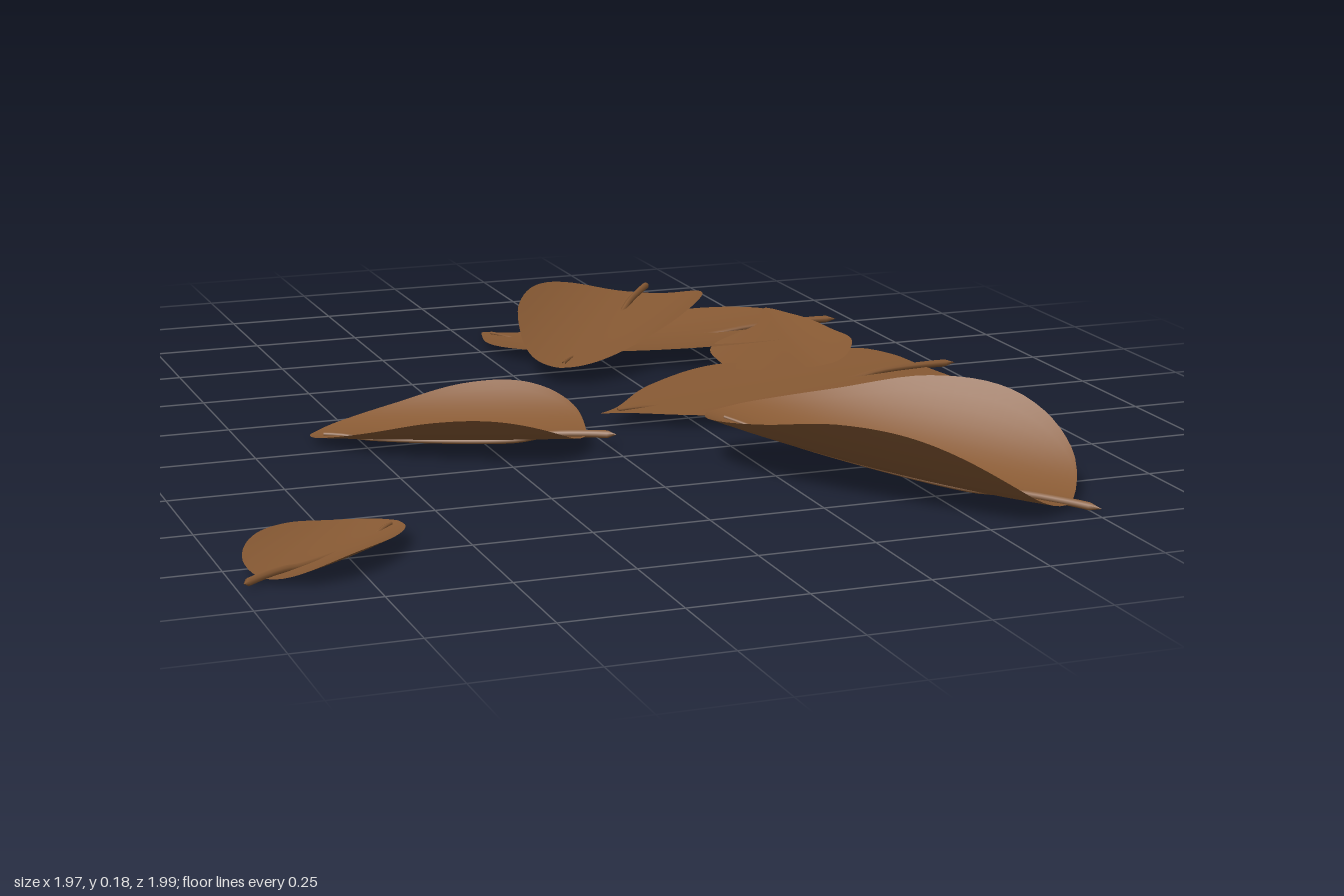
import * as THREE from 'three';

const leafMat = new THREE.MeshStandardMaterial({ color: 0x885a34, side: THREE.DoubleSide });
leafMat.name = 'leafBrown';

const vec = (x, y, z) => new THREE.Vector3(x, y, z);

// Half-width at seven stations from tip to base, as a smooth function of s in 0..1
const profile = widths => new THREE.SplineCurve(widths.map((w, i) => new THREE.Vector2(i, w)));
const EGG = [0, 0.36, 0.69, 0.96, 0.97, 0.65, 0];

// Cupped blade: cross-sections along the rib, closer together at both ends to round them;
// each edge rises by its lift where the blade is widest.
function bladeGeometry(rib, lifts, halves) {
  const rows = 40, cols = 20, pos = [], idx = [];
  const sides = halves.map(profile), widest = halves.map(h => Math.max(...h));
  for (let i = 0; i <= rows; i++) {
    const s = i / rows, t = (1 - Math.cos(Math.PI * s)) / 2;
    const m = rib.getPoint(t), d = rib.getTangent(t);
    const across = vec(d.z, 0, -d.x).normalize();
    for (let j = 0; j <= cols; j++) {
      const u = j / cols * 2 - 1, k = u > 0 ? 0 : 1;
      const w = Math.max(sides[k].getPoint(s).y, 0) * u;
      pos.push(m.x + across.x * w, m.y + lifts[k] * (w / widest[k]) ** 2, m.z + across.z * w);
      if (i < rows && j < cols) {
        const p = i * (cols + 1) + j, q = p + cols + 1;
        idx.push(p, q, p + 1, p + 1, q, q + 1);
      }
    }
  }
  const g = new THREE.BufferGeometry();
  g.setAttribute('position', new THREE.Float32BufferAttribute(pos, 3));
  g.setIndex(idx);
  g.computeVertexNormals();
  return g;
}

// Stem: shows near the tip, dips under the blade, and comes out past the base
function stemGeometry(rib, length) {
  const at = (t, dy) => {
    const p = rib.getPoint(t);
    return p.setY(Math.max(p.y + dy, 0.008));
  };
  const end = rib.getPoint(1).addScaledVector(rib.getTangent(1), length);
  const path = new THREE.CatmullRomCurve3(
    [at(0.05, 0.002), at(0.11, 0.001), at(0.22, -0.008), at(0.74, -0.008), at(0.86, 0.004), at(1, 0.004), end]);
  const steps = 32, sides = 6;
  const g = new THREE.TubeGeometry(path, steps, 0.009, sides);
  // Taper towards the tip, and close the free end
  const p = g.attributes.position;
  for (let i = 0; i < p.count; i++) {
    const t = Math.floor(i / (sides + 1)) / steps, c = path.getPointAt(t);
    const v = vec(0, 0, 0).fromBufferAttribute(p, i).sub(c);
    v.multiplyScalar(t === 1 ? 0 : 0.45 + 0.55 * t).add(c);
    p.setXYZ(i, v.x, Math.max(v.y, 0), v.z);
  }
  return g;
}

// One leaf: rib from tip to base with a bend between, stem length (0 for none),
// then edge lifts and half-widths for its two sides
function makeLeaf(name, tip, bend, base, stemLength, lifts, halves) {
  const rib = new THREE.QuadraticBezierCurve3(tip, bend, base);
  const leaf = new THREE.Group();
  leaf.name = name;
  const blade = new THREE.Mesh(bladeGeometry(rib, lifts, halves), leafMat);
  blade.name = 'blade';
  leaf.add(blade);
  if (stemLength > 0) {
    const stem = new THREE.Mesh(stemGeometry(rib, stemLength), leafMat);
    stem.name = 'stem';
    leaf.add(stem);
  }
  return leaf;
}

export function createModel() {
  const model = new THREE.Group();
  model.name = 'fallenLeaves';

  // Whole, egg-shaped leaves
  const eggLeaf = (name, tip, bend, base, stemLength, lift, width) => {
    const half = EGG.map(w => w * width);
    model.add(makeLeaf(name, tip, bend, base, stemLength, [lift, lift], [half, half]));
  };
  eggLeaf('frontLeaf', vec(0.17, 0.1, 0.31), vec(0.44, 0.02, 0.62), vec(0.71, 0.015, 0.935), 0.07, 0.145, 0.243);
  eggLeaf('leftLeaf', vec(-0.6, 0.012, -0.11), vec(-0.33, 0.015, 0.035), vec(-0.06, 0.035, 0.18), 0.067, 0.078, 0.18);
  eggLeaf('smallLeaf', vec(-0.62, 0.032, 0.64), vec(-0.78, 0.004, 0.742), vec(-0.945, 0.01, 0.845), 0.05, 0.04, 0.12);
  eggLeaf('backLeaf', vec(0.07, 0.045, -0.37), vec(0.275, 0.05, -0.65), vec(0.485, 0.075, -0.935), 0.08, 0.058, 0.217);

  // Ragged and folded leaves in the pile
  model.add(
    makeLeaf('middleLeaf', vec(0.06, 0.008, -0.92), vec(0.15, 0.03, -0.58), vec(0.83, 0.045, -0.605), 0.055, [0.02, 0.02],
      [[0, 0.028, 0.078, 0.138, 0.178, 0.14, 0], [0, 0.038, 0.145, 0.2, 0.22, 0.155, 0]]),
    makeLeaf('foldedLeaf', vec(0.71, 0.08, -0.645), vec(0.655, 0.05, -0.41), vec(0.6, 0.045, -0.18), 0, [0.035, -0.01],
      [[0, 0.035, 0.085, 0.12, 0.145, 0.12, 0.08], [0, 0.02, 0.044, 0.17, 0.175, 0.145, 0.1]]),
    makeLeaf('rightLeaf', vec(0.04, 0.03, 0), vec(0.465, 0.035, -0.065), vec(0.9, 0.035, -0.13), 0.085, [0.008, 0.004],
      [[0, 0.03, 0.155, 0.228, 0.17, 0.21, 0.1], [0, 0.03, 0.15, 0.24, 0.245, 0.24, 0.12]]),
  );
  return model;
}
